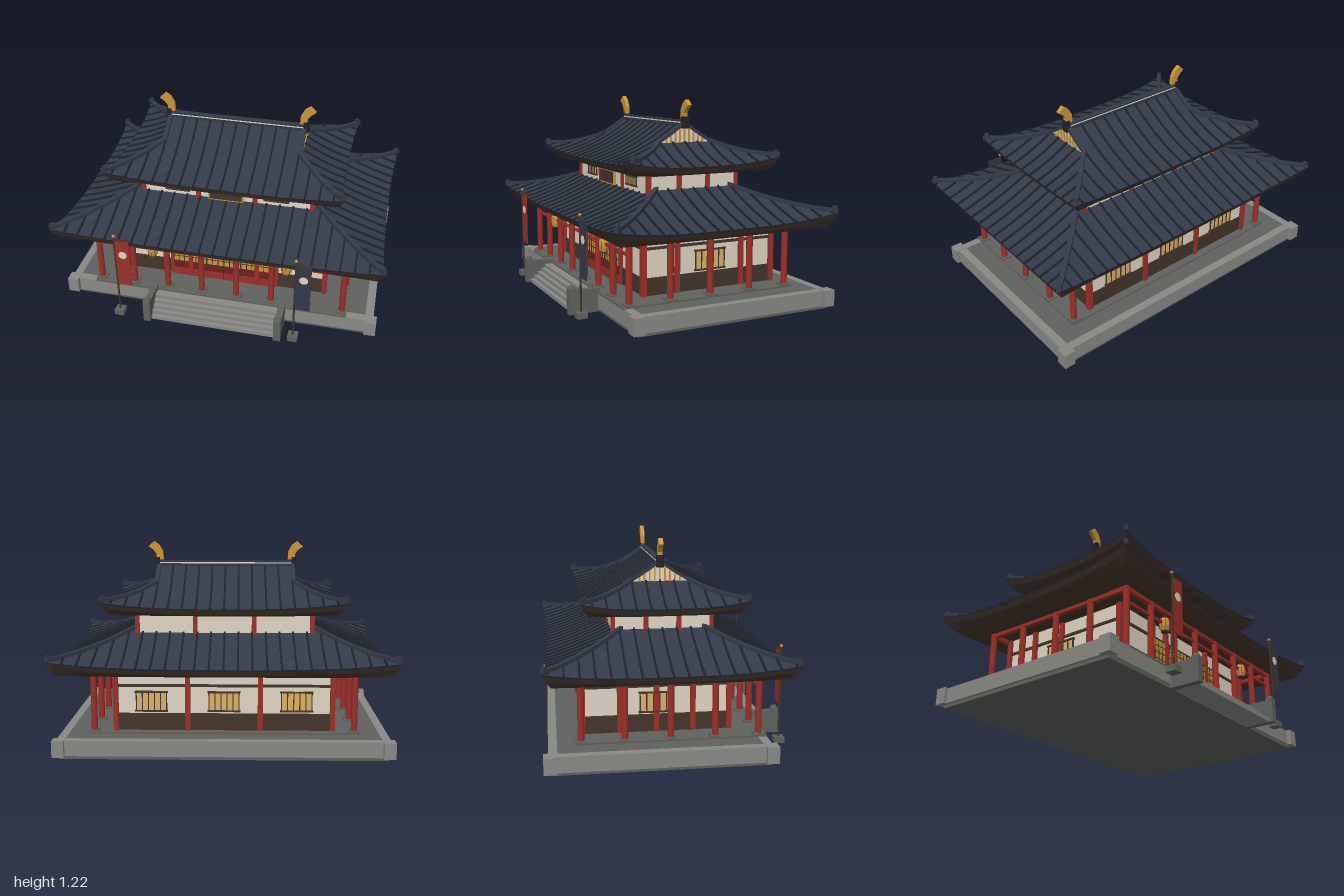
import * as THREE from 'three';
import { mergeGeometries } from 'three/addons/utils/BufferGeometryUtils.js';

const paint = (name, color) => Object.assign(new THREE.MeshStandardMaterial({ color }), { name });
const M = {
  tile: paint('slate tile', 0x323a48), tileDark: paint('dark tile', 0x1e232b),
  wood: paint('dark wood', 0x43352c), red: paint('red lacquer', 0x9c2f29),
  maroon: paint('maroon panel', 0x6e211e), cream: paint('plaster', 0xdfd6c3),
  gold: paint('gold', 0xce943c), glow: paint('window paper', 0xdcb066),
  stone: paint('stone', 0x888984), stoneDark: paint('dark stone', 0x5e625d),
};
const V = (x, y, z) => new THREE.Vector3(x, y, z);

function add(parent, name, geo, mat, x = 0, y = 0, z = 0) {
  const m = new THREE.Mesh(geo, mat);
  m.name = name;
  m.position.set(x, y, z);
  parent.add(m);
  return m;
}
// box centred on x and z, standing on y
const box = (p, name, mat, x, y, z, w, h, d) => add(p, name, new THREE.BoxGeometry(w, h, d), mat, x, y + h / 2, z);
const post = (p, name, mat, x, y, z, r, h) => add(p, name, new THREE.CylinderGeometry(r, r, h, 12), mat, x, y + h / 2, z);

// flat-shaded sheet through a grid of points fn(i, j)
function sheet(fn, nu, nv) {
  const pos = [], put = (...q) => q.forEach(p => pos.push(p.x, p.y, p.z));
  for (let j = 0; j < nv; j++) for (let i = 0; i < nu; i++) {
    const a = fn(i, j), b = fn(i + 1, j), c = fn(i + 1, j + 1), d = fn(i, j + 1);
    put(a, b, c, a, c, d);
  }
  const g = new THREE.BufferGeometry();
  g.setAttribute('position', new THREE.Float32BufferAttribute(pos, 3));
  g.computeVertexNormals();
  return g;
}
// closed rectangular bar lying on a path
function bar(pts, w, h) {
  const n = pts.length, dir = pts[n - 1].clone().sub(pts[0]);
  const side = V(-dir.z, 0, dir.x).normalize();
  const ring = [[-1, 0], [-1, 1], [1, 1], [1, 0], [-1, 0]];
  return sheet((i, j) => {
    const p = pts[Math.min(Math.max(j - 1, 0), n - 1)].clone();
    if (j === 0 || j === n + 1) return p.add(V(0, h / 2, 0));
    return p.addScaledVector(side, ring[i][0] * w / 2).add(V(0, ring[i][1] * h, 0));
  }, 4, n + 1);
}

// Four-sided curved roof; s.g is the height ratio where the hips stop
function makeRoof(name, s) {
  const roof = new THREE.Group();
  roof.name = name;
  const turn = (k, a, y, d) => [V(a, y, d), V(d, y, -a), V(-a, y, -d), V(-d, y, a)][k];
  const along = (k, t) => (k % 2 ? s.Z : s.X)(t), out = (k, t) => (k % 2 ? s.X : s.Z)(t);
  const rise = t => Math.max(0, 1 - t / s.g);
  const P = (k, u, t) => {
    const e = rise(t), c = Math.abs(u) ** 3;
    return turn(k, u * (along(k, t) + s.flare * e), s.Y(t) + s.lift * e * e * c, out(k, t) + s.flare * e * c);
  };
  // underside rings: 0 soffit centre, 1 soffit edge, 2 fascia foot, 3 fascia top, 4 tile edge
  const under = (k, u, j) => {
    const c = Math.abs(u) ** 3, inset = [0, 0.045, 0.014, 0, 0][j];
    if (j === 0) return turn(k, u * (k % 2 ? s.inner[1] : s.inner[0]), s.foot + 0.008, k % 2 ? s.inner[0] : s.inner[1]);
    const y = j === 1 ? s.foot + 0.012 * c : P(k, u, 0).y - [0, 0, 0.036, 0.01, 0][j];
    return turn(k, u * (along(k, 0) + s.flare - inset), y, out(k, 0) + s.flare * c - inset);
  };
  const tiles = [], lips = [], wood = [], ribs = [], hips = [];
  const N = 24, U = i => i / N * 2 - 1;
  for (let k = 0; k < 4; k++) {
    const top = k % 2 ? s.g : 1;
    tiles.push(sheet((i, j) => P(k, U(i), s.g * j / 7), N, 7));
    if (top > s.g) tiles.push(sheet((i, j) => P(k, U(i), s.g + (1 - s.g) * j / 5), N, 5));
    wood.push(sheet((i, j) => under(k, U(i), j), N, 3));
    lips.push(sheet((i, j) => under(k, U(i), j + 3), N, 1));
    // tile ribs run straight up from the eave until they meet a hip
    const count = Math.floor(along(k, 0) / 0.083);
    for (let r = -count; r <= count; r++) {
      const pts = [];
      for (let j = 0; j <= 18; j++) {
        const t = top * j / 18, u = r * 0.083 / (along(k, t) + s.flare * rise(t));
        if (Math.abs(u) <= 1) pts.push(P(k, u, t));
      }
      if (pts.length > 1) ribs.push(bar(pts, 0.011, 0.009));
    }
    const path = (u, t0, t1) => Array.from({ length: 9 }, (_, j) => P(k, u, t0 + (t1 - t0) * j / 8));
    hips.push(bar(path(1, 0, s.g), 0.026, 0.022));
    if (top > s.g) for (const u of [-0.98, 0.98]) hips.push(bar(path(u, s.g, 1), 0.026, 0.02));
    const tip = P(k, 1, 0.03);
    box(roof, 'hipTip', M.tile, tip.x, tip.y + 0.005, tip.z, 0.024, 0.032, 0.024).rotation.y = Math.PI / 4;
  }
  add(roof, 'tiles', mergeGeometries(tiles), M.tile);
  add(roof, 'tileEdge', mergeGeometries(lips), M.tileDark);
  add(roof, 'eaves', mergeGeometries(wood), M.wood);
  add(roof, 'ribs', mergeGeometries(ribs), M.tileDark);
  add(roof, 'hipRidges', mergeGeometries(hips), M.tile);
  roof.position.z = -0.02;
  return roof;
}

// barred window facing +z
function makeWindow(p, x, y, z, w, h, angle = 0) {
  const g = new THREE.Group();
  g.name = 'window';
  box(g, 'paper', M.glow, 0, 0, 0, w, h, 0.008);
  for (const yy of [0, h - 0.01]) box(g, 'rail', M.wood, 0, yy, 0.004, w + 0.016, 0.01, 0.014);
  for (let i = 0; i <= 5; i++) box(g, 'bar', M.wood, (i / 5 - 0.5) * w, 0, 0.004, 0.006, h, 0.008);
  g.position.set(x, y, z);
  g.rotation.y = angle;
  p.add(g);
}

export function createModel() {
  const model = new THREE.Group();
  const part = name => { const g = new THREE.Group(); g.name = name; model.add(g); return g; };

  // stone platform
  const base = part('platform');
  box(base, 'core', M.stoneDark, 0, 0, -0.075, 1.9, 0.11, 1.22);
  box(base, 'floor', M.stoneDark, 0, 0.108, 0, 1.6, 0.012, 1.09);
  for (const s of [-1, 1]) {
    box(base, 'sideCourse', M.stone, s * 0.94, 0.02, -0.075, 0.05, 0.092, 1.23);
    box(base, 'longCourse', M.stone, 0, 0.02, -0.075 + s * 0.594, 1.92, 0.092, 0.05);
    for (const e of [-1, 1]) box(base, 'cornerStone', M.stone, s * 0.95, 0.018, -0.075 + e * 0.61, 0.07, 0.097, 0.07);
  }
  // front stairs
  const stairs = part('stairs');
  for (let i = 0; i < 5; i++) box(stairs, 'step', M.stone, 0, 0, 0.62 - i * 0.0125, 0.78, 0.022 * (i + 1), 0.15 - i * 0.025);
  for (const s of [-1, 1]) {
    box(stairs, 'cheek', M.stoneDark, s * 0.408, 0, 0.62, 0.04, 0.14, 0.18);
    box(stairs, 'newel', M.stoneDark, s * 0.408, 0, 0.698, 0.044, 0.152, 0.044);
    add(stairs, 'newelCap', new THREE.CylinderGeometry(0.014, 0.022, 0.016, 8), M.stoneDark, s * 0.408, 0.16, 0.698);
  }

  // ground floor walls
  const hall = part('lowerHall');
  box(hall, 'wall', M.cream, 0, 0.11, -0.07, 1.28, 0.39, 0.84);
  box(hall, 'wainscot', M.wood, 0, 0.115, -0.07, 1.292, 0.108, 0.852);
  box(hall, 'wallBeam', M.wood, 0, 0.384, -0.07, 1.296, 0.016, 0.856);
  for (const s of [-1, 1]) {
    for (let i = 0; i < 5; i++) box(hall, 'wallPost', M.red, s * 0.642, 0.115, 0.355 - i * 0.2125, 0.03, 0.37, 0.03);
    box(hall, 'frontPost', M.red, s * 0.335, 0.115, 0.352, 0.028, 0.37, 0.026);
    box(hall, 'doorPost', M.red, s * 0.215, 0.115, 0.362, 0.028, 0.37, 0.026);
    box(hall, 'backPost', M.red, s * 0.215, 0.115, -0.494, 0.03, 0.37, 0.03);
    makeWindow(hall, s * 0.65, 0.235, -0.07, 0.19, 0.125, s * Math.PI / 2);
  }
  for (const x of [-0.43, 0, 0.43]) makeWindow(hall, x, 0.235, -0.498, 0.18, 0.125, Math.PI);

  // six lattice doors
  for (let i = 0; i < 6; i++) {
    const door = new THREE.Group();
    door.name = 'door';
    box(door, 'lowerPanel', M.maroon, 0, 0.125, 0, 0.108, 0.1, 0.012);
    box(door, 'lattice', M.gold, 0, 0.225, 0, 0.108, 0.16, 0.012);
    for (let j = 0; j < 4; j++) box(door, 'upright', M.wood, -0.052 + j * 0.0347, 0.225, 0.007, 0.004, 0.16, 0.004);
    for (let j = 0; j < 5; j++) box(door, 'crossbar', M.wood, 0, 0.223 + j * 0.04, 0.007, 0.108, 0.004, 0.004);
    box(door, 'sill', M.red, 0, 0.12, 0.006, 0.108, 0.05, 0.01);
    door.position.set((i - 2.5) * 0.11, 0, 0.36);
    hall.add(door);
  }

  // veranda columns and beams, open on the front and sides
  const veranda = part('veranda');
  const column = (x, z) => {
    box(veranda, 'columnBase', M.stoneDark, x, 0.112, z, 0.062, 0.018, 0.062);
    post(veranda, 'column', M.red, x, 0.125, z, 0.019, 0.36);
  };
  for (let i = 0; i < 8; i++) column((i - 3.5) * 0.22, 0.5);
  for (const s of [-1, 1]) {
    for (const z of [0.25, -0.005, -0.265, -0.51]) column(s * 0.77, z);
    box(veranda, 'sideBeam', M.red, s * 0.77, 0.46, -0.005, 0.026, 0.026, 1.04);
    box(veranda, 'longBeam', M.red, 0, 0.46, -0.005 + s * 0.505, 1.57, 0.026, 0.026);
  }
  box(veranda, 'tieBeam', M.red, 0, 0.39, 0.5, 1.54, 0.016, 0.014);

  // hanging lanterns
  for (const s of [-1, 1]) {
    const lantern = part('lantern');
    const body = [[0.023, -0.038], [0.029, -0.026], [0.032, 0], [0.029, 0.026], [0.023, 0.038]].map(p => new THREE.Vector2(...p));
    add(lantern, 'paperBody', new THREE.LatheGeometry(body, 12), M.gold);
    for (const y of [-0.043, 0.036]) post(lantern, 'cap', M.wood, 0, y, 0, 0.022, 0.007);
    for (let i = 0; i < 8; i++) {
      const a = i * Math.PI / 4;
      box(lantern, 'rib', M.wood, Math.sin(a) * 0.031, -0.026, Math.cos(a) * 0.031, 0.002, 0.052, 0.002);
    }
    post(lantern, 'cord', M.wood, 0, 0.04, 0, 0.004, 0.045);
    lantern.position.set(s * 0.42, 0.39, 0.5);
  }

  // lower roof skirt
  const mix = (a, b, t) => a + (b - a) * t;
  model.add(makeRoof('lowerRoof', {
    X: t => mix(0.973, 0.535, t), Z: t => mix(0.668, 0.24, t), Y: t => 0.53 + 0.172 * (0.7 * t + 0.3 * t * t),
    g: 1, flare: 0.027, lift: 0.045, foot: 0.477, inner: [0.5, 0.25],
  }));

  // upper storey
  const upper = part('upperHall');
  box(upper, 'wall', M.cream, 0, 0.6, -0.02, 1.07, 0.21, 0.58);
  box(upper, 'topBeam', M.wood, 0, 0.782, -0.02, 1.085, 0.024, 0.595);
  for (const s of [-1, 1]) {
    for (const x of [-0.53, -0.178, 0.178, 0.53]) box(upper, 'post', M.red, x, 0.62, -0.02 + s * 0.288, 0.028, 0.165, 0.024);
    for (const z of [-0.095, 0.095]) box(upper, 'sidePost', M.red, s * 0.533, 0.62, -0.02 + z, 0.024, 0.165, 0.028);
    makeWindow(upper, s * 0.31, 0.705, 0.272, 0.14, 0.065);
  }
  box(upper, 'plaqueFrame', M.gold, 0, 0.685, 0.295, 0.215, 0.09, 0.016);
  box(upper, 'plaqueBoard', M.wood, 0, 0.693, 0.302, 0.199, 0.074, 0.008);

  // upper hip-and-gable roof
  const g = 0.637, Y = t => 0.845 + 0.225 * (0.5 * t + 0.5 * t * t);
  const top = makeRoof('upperRoof', {
    X: t => mix(0.7, 0.43, Math.min(1, t / g)), Z: t => 0.455 * (1 - t), Y,
    g, flare: 0.022, lift: 0.042, foot: 0.797, inner: [0.45, 0.22],
  });
  model.add(top);
  const outline = [];
  for (let i = -5; i <= 5; i++) outline.push(new THREE.Vector2(i * 0.033, Y(1 - Math.abs(i) * 0.033 / 0.455)));
  for (const s of [-1, 1]) {
    add(top, 'gable', new THREE.ShapeGeometry(new THREE.Shape(outline)), M.cream, s * 0.422).rotation.y = s * Math.PI / 2;
    for (let i = -4; i <= 4; i++) {
      const z = i * 0.03, h = Y(1 - Math.abs(z) / 0.455) - 0.955;
      box(top, 'gableSlat', M.gold, s * 0.426, 0.952, z, 0.01, h, 0.009);
    }
    box(top, 'ridgeEnd', M.tileDark, s * 0.43, 1.045, 0, 0.028, 0.07, 0.044);
    // curved finial sweeping outward
    const shape = new THREE.Shape([[0.393, 1.1], [0.436, 1.1], [0.438, 1.135], [0.456, 1.16], [0.487, 1.183], [0.452, 1.215], [0.418, 1.19], [0.396, 1.15]].map(p => new THREE.Vector2(...p)));
    const fin = new THREE.ExtrudeGeometry(shape, { depth: 0.026, bevelEnabled: false });
    fin.translate(0, 0, -0.013);
    add(top, 'finial', fin, M.gold).rotation.y = s > 0 ? 0 : Math.PI;
  }
  box(top, 'mainRidge', M.tile, 0, 1.05, 0, 0.85, 0.042, 0.036);
  box(top, 'ridgeStripe', M.cream, 0, 1.076, 0, 0.84, 0.007, 0.039);

  // banners on poles
  for (const [x, mat] of [[-0.595, M.red], [0.5, M.tile]]) {
    const flag = part('banner');
    box(flag, 'foot', M.stoneDark, 0, 0, 0, 0.06, 0.034, 0.06);
    post(flag, 'pole', M.wood, 0, 0.03, 0, 0.006, 0.555);
    add(flag, 'knob', new THREE.SphereGeometry(0.01, 8, 6), M.gold, 0, 0.59, 0);
    box(flag, 'arm', M.wood, 0.045, 0.562, 0, 0.1, 0.008, 0.008);
    box(flag, 'cloth', mat, 0.048, 0.235, 0, 0.086, 0.328, 0.006);
    add(flag, 'emblem', new THREE.CylinderGeometry(0.026, 0.026, 0.009, 16), M.cream, 0.048, 0.458, 0).rotation.x = Math.PI / 2;
    flag.position.set(x, 0, 0.676);
  }
  return model;
}
